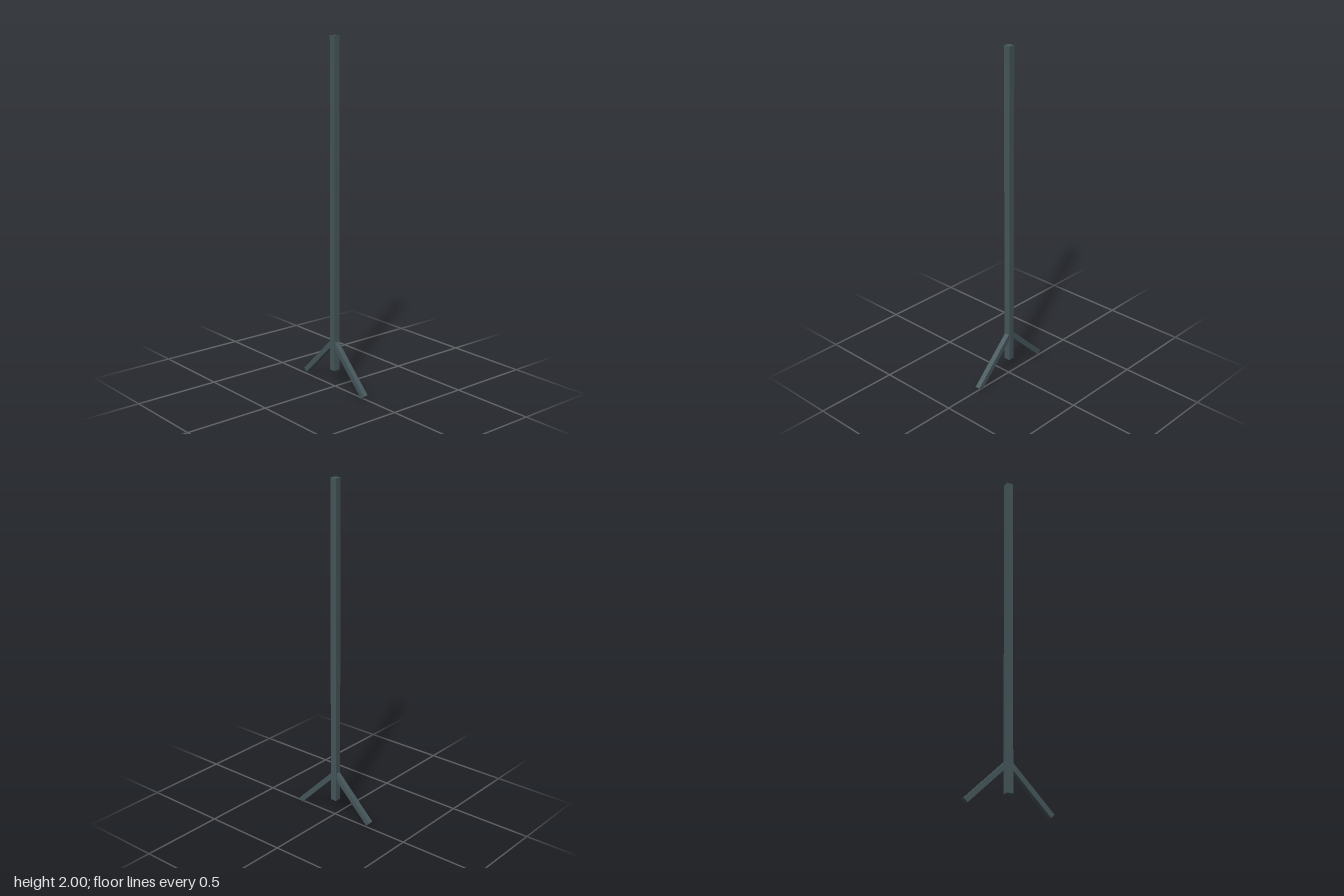
import * as THREE from 'three';

export function createModel() {
  const group = new THREE.Group();
  const slate = new THREE.MeshStandardMaterial({ color: 0x46575b });
  slate.name = 'slate';

  // Tall square post
  const post = new THREE.Mesh(new THREE.BoxGeometry(0.038, 1.9, 0.038), slate);
  post.name = 'post';
  post.position.set(-0.003, 1.05, 0);
  group.add(post);

  // Slanted square leg between two points in the front plane
  function addLeg(name, x0, y0, x1, y1) {
    const length = Math.hypot(x1 - x0, y1 - y0);
    const leg = new THREE.Mesh(new THREE.BoxGeometry(length, 0.03, 0.03), slate);
    leg.name = name;
    leg.position.set((x0 + x1) / 2, (y0 + y1) / 2, 0);
    leg.rotation.z = Math.atan2(y1 - y0, x1 - x0);
    group.add(leg);
  }
  addLeg('leftLeg', 0.2555, 0.0106, -0.001, 0.2665);
  addLeg('rightLeg', -0.2565, 0.028, -0.007, 0.27);

  return group;
}
